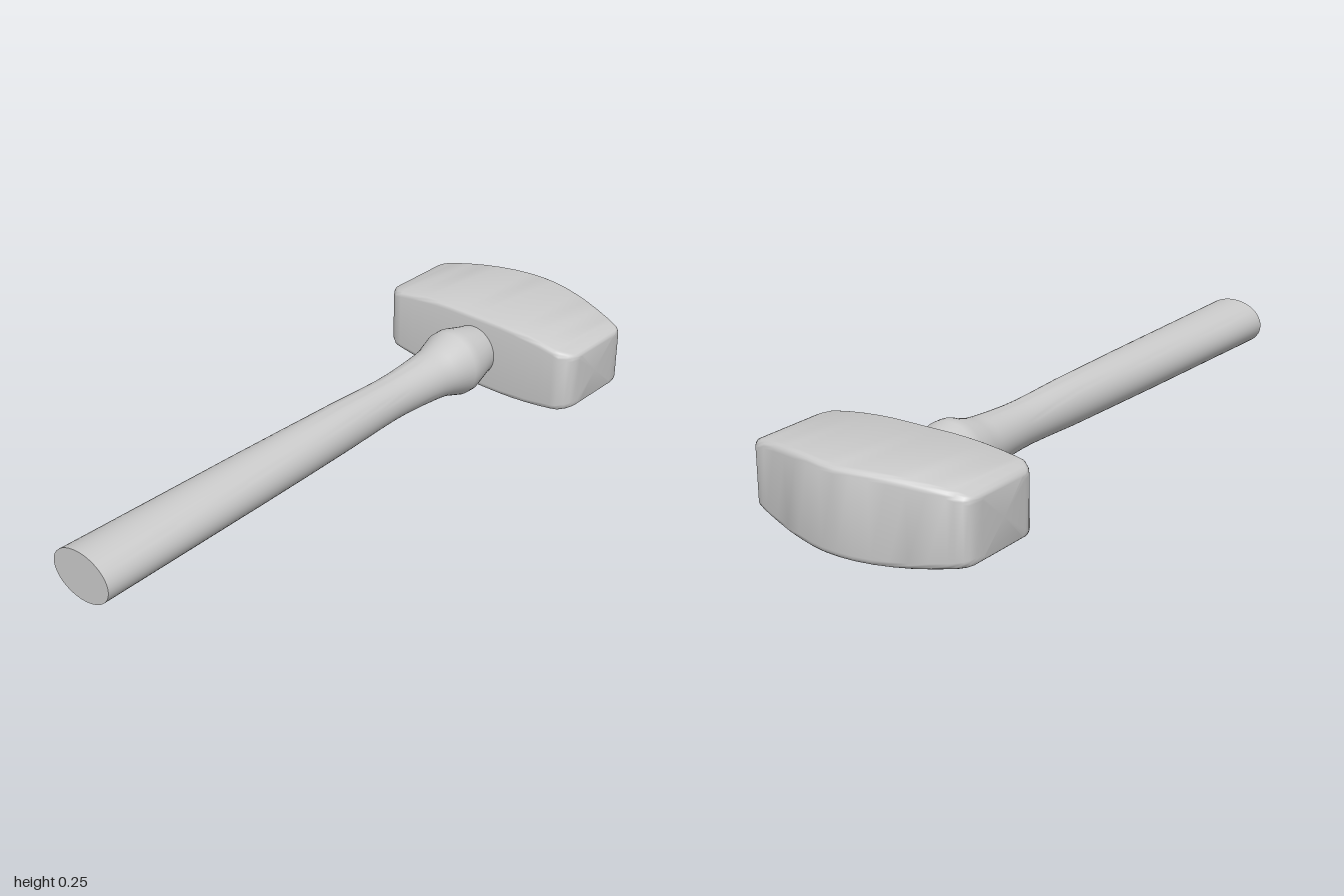
import * as THREE from 'three';
import { toCreasedNormals } from 'three/addons/utils/BufferGeometryUtils.js';

const MID_Y = 0.126;

// Skin a list of equal-length rings and close both ends with fans.
function loft(rings, crease) {
  const n = rings[0].length, last = rings.length - 1, pos = [], idx = [];
  rings.forEach(r => r.forEach(p => pos.push(p.x, p.y, p.z)));
  for (let i = 0; i < last; i++) {
    for (let j = 0; j < n; j++) {
      const k = (j + 1) % n, a = i * n + j, b = i * n + k;
      idx.push(a, b, a + n, b, b + n, a + n);
    }
  }
  for (const i of [0, last]) {
    const c = new THREE.Vector3();
    rings[i].forEach(p => c.addScaledVector(p, 1 / n));
    const ci = pos.length / 3;
    pos.push(c.x, c.y, c.z);
    for (let j = 0; j < n; j++) {
      const a = i * n + j, b = i * n + (j + 1) % n;
      if (i === 0) idx.push(ci, b, a);
      else idx.push(ci, a, b);
    }
  }
  const g = new THREE.BufferGeometry();
  g.setAttribute('position', new THREE.Float32BufferAttribute(pos, 3));
  g.setIndex(idx);
  return toCreasedNormals(g, crease);
}

// Rounded rectangle across x, counter-clockwise seen from +x.
function headRing(x, halfH, back, front, r) {
  const pts = [], steps = 5;
  const corners = [[halfH - r, front - r], [-halfH + r, front - r], [-halfH + r, back + r], [halfH - r, back + r]];
  corners.forEach(([y, z], q) => {
    for (let s = 0; s <= steps; s++) {
      const t = (q + s / steps) * Math.PI / 2;
      pts.push(new THREE.Vector3(x, MID_Y + y + r * Math.cos(t), z + r * Math.sin(t)));
    }
  });
  return pts;
}

function ellipseRing(z, rx, ry, n = 48) {
  return Array.from({ length: n }, (_, i) => {
    const t = i / n * Math.PI * 2;
    return new THREE.Vector3(rx * Math.cos(t), MID_Y + ry * Math.sin(t), z);
  });
}

export function createModel() {
  const group = new THREE.Group();
  const add = (name, geometry) => {
    const mesh = new THREE.Mesh(geometry, new THREE.MeshStandardMaterial({ color: 0xcccccc }));
    mesh.name = name;
    group.add(mesh);
  };

  // Head: half sections [x, half height, back z, front z, corner radius], mirrored in x
  const half = [
    [0, 0.125, -1, -0.63, 0.02],
    [0.05, 0.125, -0.997, -0.63, 0.02],
    [0.1, 0.125, -0.987, -0.63, 0.02],
    [0.15, 0.123, -0.975, -0.63, 0.02],
    [0.2, 0.119, -0.962, -0.63, 0.02],
    [0.25, 0.113, -0.947, -0.63, 0.02],
    [0.3, 0.105, -0.932, -0.63, 0.02],
    [0.32, 0.101, -0.926, -0.631, 0.02],
    [0.341, 0.095, -0.919, -0.646, 0.02],
    [0.352, 0.09, -0.908, -0.66, 0.018],
    [0.358, 0.085, -0.89, -0.672, 0.016],
    [0.36, 0.08, -0.865, -0.69, 0.014],
  ];
  const rows = [...half.slice(1).reverse().map(([x, ...rest]) => [-x, ...rest]), ...half];
  add('head', loft(rows.map(row => headRing(...row)), 0.8));

  // Handle: oval sections [z, half width, half height] from inside the head to the butt
  const sections = [
    [-0.7, 0.073, 0.073],
    [-0.62, 0.082, 0.084],
    [-0.54, 0.104, 0.105],
    [-0.51, 0.104, 0.104],
    [-0.44, 0.083, 0.081],
    [-0.4, 0.077, 0.076],
    [-0.33, 0.07, 0.071],
    [-0.26, 0.065, 0.068],
    [-0.2, 0.064, 0.067],
    [-0.12, 0.066, 0.069],
    [0, 0.071, 0.073],
    [0.2, 0.08, 0.074],
    [0.4, 0.087, 0.075],
    [0.6, 0.093, 0.075],
    [0.8, 0.099, 0.075],
    [1, 0.105, 0.075],
  ];
  add('handle', loft(sections.map(s => ellipseRing(...s)), 0.8));
  return group;
}
